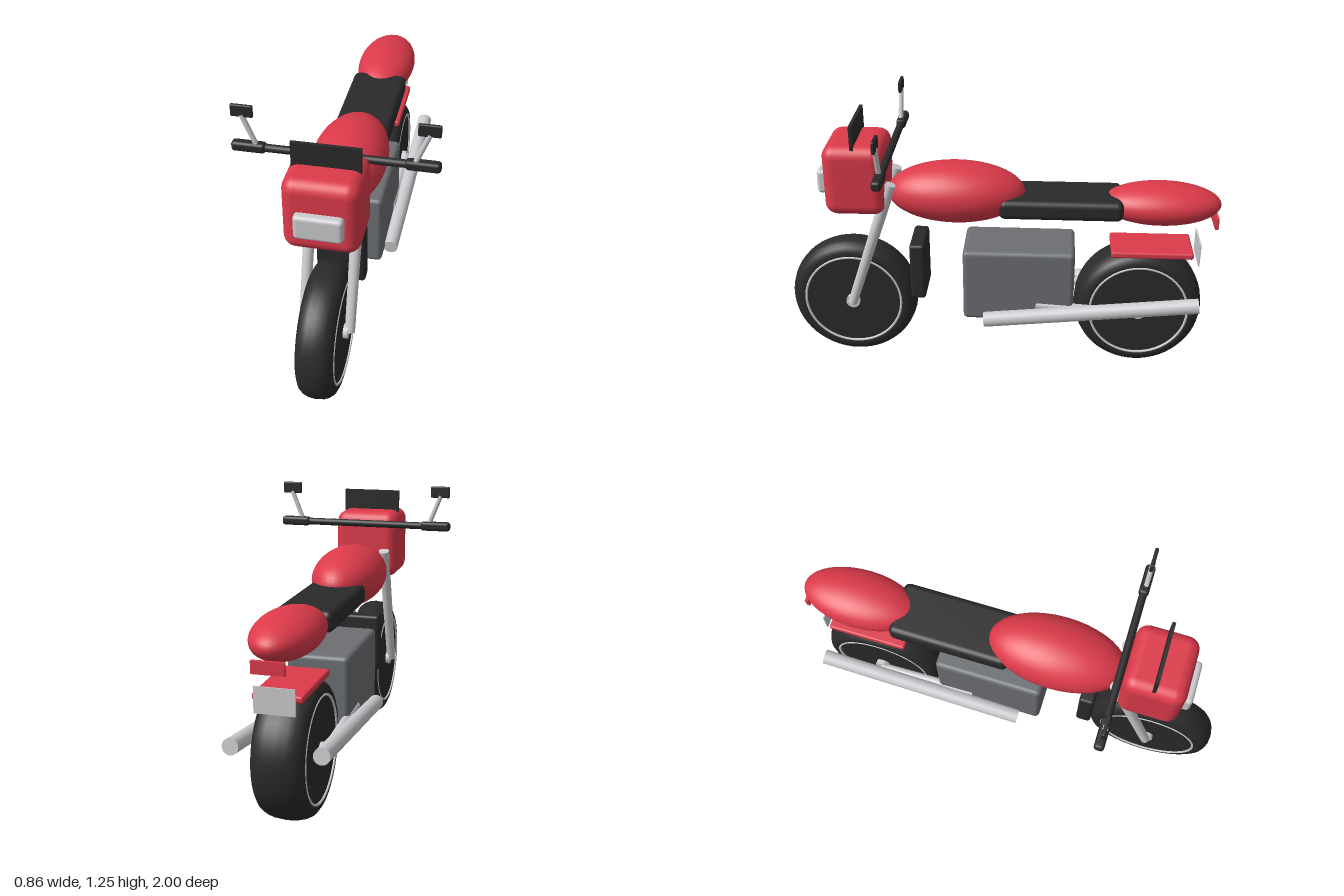
import * as THREE from 'three';
import { RoundedBoxGeometry } from 'three/addons/geometries/RoundedBoxGeometry.js';

export function createModel() {
  const model = new THREE.Group();
  model.name = 'motorcycle';

  const material = (name, color) => {
    const m = new THREE.MeshStandardMaterial({ color });
    m.name = name;
    return m;
  };
  const red = material('red paint', 0xdc3a4a);
  const black = material('black', 0x2a2a2a);
  const silver = material('silver', 0xcbcbcf);
  const grey = material('engine grey', 0x6c6f73);

  const add = (name, geometry, mat, x, y, z, parent = model) => {
    const mesh = new THREE.Mesh(geometry, mat);
    mesh.name = name;
    mesh.position.set(x, y, z);
    parent.add(mesh);
    return mesh;
  };
  const box = (name, mat, size, pos, radius) =>
    add(name, radius ? new RoundedBoxGeometry(...size, 4, radius) : new THREE.BoxGeometry(...size), mat, ...pos);
  const ellipsoid = (name, mat, radii, pos) =>
    add(name, new THREE.SphereGeometry(1, 40, 28), mat, ...pos).scale.set(...radii);

  // Cylinder running from point a to point b
  const rod = (name, mat, a, b, rA, rB = rA) => {
    const from = new THREE.Vector3(...a), to = new THREE.Vector3(...b);
    const dir = to.clone().sub(from);
    const mid = from.clone().add(to).multiplyScalar(0.5);
    const mesh = add(name, new THREE.CylinderGeometry(rB, rA, dir.length(), 24), mat, mid.x, mid.y, mid.z);
    mesh.quaternion.setFromUnitVectors(new THREE.Vector3(0, 1, 0), dir.normalize());
    return mesh;
  };

  // Wheels: tyre, side discs, thin rim rings and axle
  const wheel = (name, w, z) => {
    const group = new THREE.Group();
    group.name = name;
    group.position.set(0, 0.3, z);
    group.rotation.z = -Math.PI / 2;
    model.add(group);
    const half = [[0.215, 0.9], [0.235, 0.99], [0.255, 0.97], [0.275, 0.85], [0.288, 0.65], [0.296, 0.4], [0.3, 0]];
    const profile = [
      ...half.map(([r, t]) => [r, -t * w]),
      ...half.slice(0, -1).reverse().map(([r, t]) => [r, t * w]),
    ].map(([r, t]) => new THREE.Vector2(r, t));
    add('tyre', new THREE.LatheGeometry(profile, 56), black, 0, 0, 0, group);
    add('wheelDisc', new THREE.CylinderGeometry(0.228, 0.228, w * 1.86, 48), black, 0, 0, 0, group);
    for (const s of [-1, 1]) {
      const ring = add('rimRing', new THREE.TorusGeometry(0.228, 0.006, 8, 56), silver, 0, s * w * 0.96, 0, group);
      ring.rotation.x = Math.PI / 2;
    }
    add('axle', new THREE.CylinderGeometry(0.033, 0.033, w * 2 + 0.03, 20), silver, 0, 0, 0, group);
  };
  wheel('frontWheel', 0.08, 0.7);
  wheel('rearWheel', 0.112, -0.65);

  // Body
  ellipsoid('fuelTank', red, [0.166, 0.139, 0.315], [0, 0.85, 0.203]);
  ellipsoid('tailFairing', red, [0.139, 0.094, 0.272], [0, 0.813, -0.728]);
  box('seat', black, [0.26, 0.093, 0.56], [0, 0.812, -0.275], 0.03);
  rod('frameSpar', grey, [0, 0.9, 0.4], [0, 0.765, -0.34], 0.035);
  box('engine', grey, [0.28, 0.355, 0.515], [0, 0.427, -0.088], 0.022);
  box('radiator', black, [0.22, 0.28, 0.07], [0, 0.475, 0.383], 0.015);

  // Front end
  box('headlightFairing', red, [0.315, 0.33, 0.275], [0, 0.943, 0.647], 0.055);
  box('headlight', silver, [0.2, 0.11, 0.07], [0, 0.922, 0.785], 0.018);
  box('windscreen', black, [0.28, 0.12, 0.015], [0, 1.145, 0.645]);
  rod('handlebar', black, [-0.4, 1.055, 0.492], [0.4, 1.055, 0.492], 0.017);

  // Rear end
  box('rearFender', red, [0.21, 0.03, 0.375], [0, 0.59, -0.698], 0.01);
  box('tailLight', red, [0.135, 0.052, 0.016], [0, 0.741, -0.98]);
  box('rearPlate', silver, [0.17, 0.11, 0.006], [0, 0.588, -0.914]);

  // Mirrored parts
  for (const s of [-1, 1]) {
    rod('forkLeg', silver, [s * 0.1, 0.3, 0.7], [s * 0.1, 0.92, 0.49], 0.022, 0.026);
    box('grip', black, [0.145, 0.044, 0.044], [s * 0.358, 1.055, 0.492], 0.015);
    rod('mirrorStem', silver, [s * 0.325, 1.065, 0.495], [s * 0.38, 1.205, 0.495], 0.011);
    box('mirror', black, [0.093, 0.055, 0.016], [s * 0.378, 1.223, 0.495], 0.006);
    rod('exhaust', silver, [s * 0.166, 0.266, 0.07], [s * 0.187, 0.383, -0.915], 0.035);
    rod('swingarm', silver, [s * 0.128, 0.33, -0.17], [s * 0.128, 0.3, -0.65], 0.02);
  }
  return model;
}
